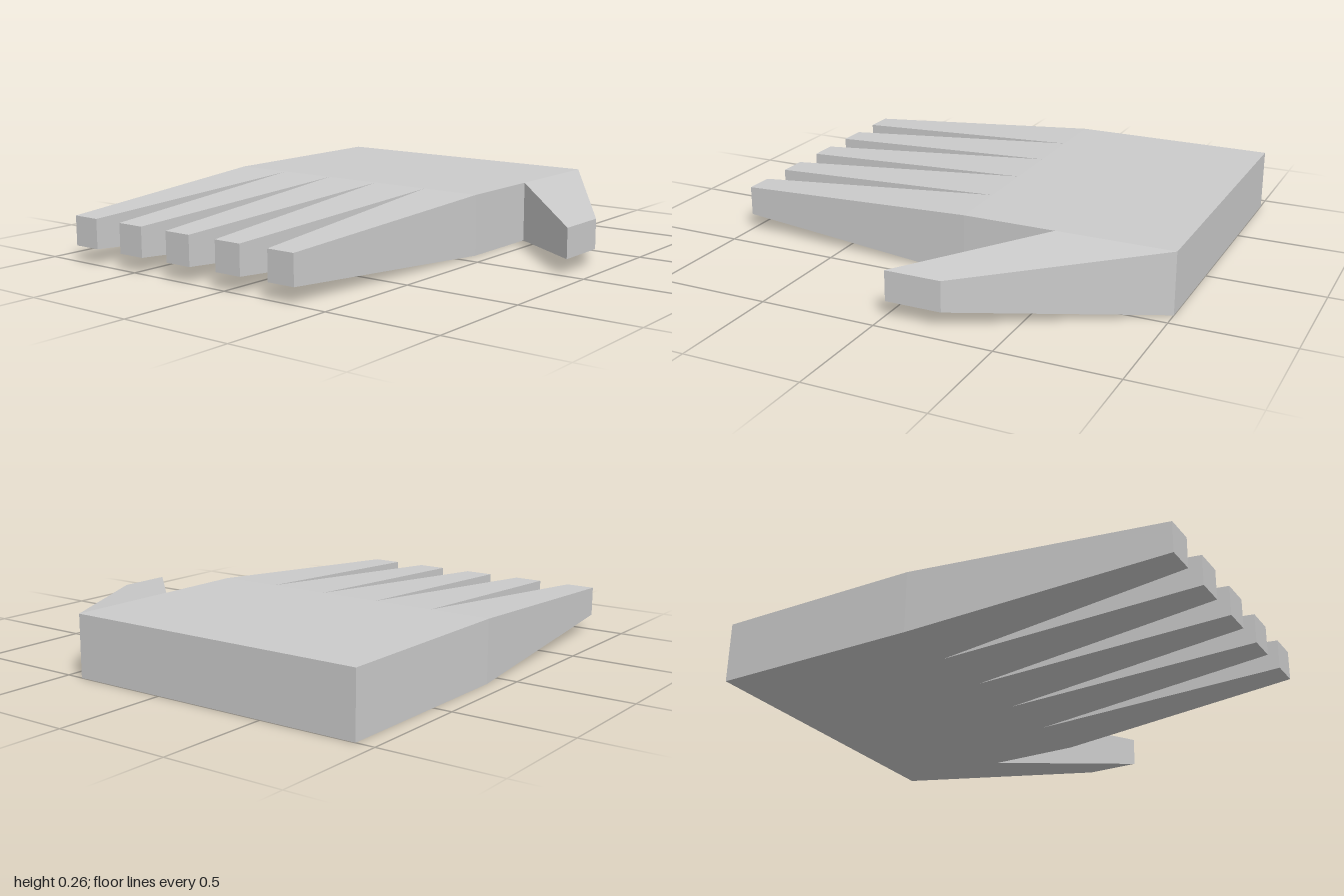
import * as THREE from 'three';

const HEIGHT = 0.265;      // thickness of the palm
const MID = HEIGHT / 2;
const KNUCKLE = 0.1;       // x where the fingers begin
const BACK = -0.92, FRONT = 0.424;
const PITCH = (FRONT - BACK) / 5;
const TIP = 0.128;         // finger tip thickness

const material = new THREE.MeshStandardMaterial({ color: 0xcccccc, flatShading: true });

// Unit box whose corners are moved by a rule: (x, y, z in -0.5..0.5) => [x, y, z]
function shapedBox(name, rule) {
  const geometry = new THREE.BoxGeometry(1, 1, 1);
  const p = geometry.attributes.position;
  for (let i = 0; i < p.count; i++) p.setXYZ(i, ...rule(p.getX(i), p.getY(i), p.getZ(i)));
  geometry.computeVertexNormals();
  const mesh = new THREE.Mesh(geometry, material);
  mesh.name = name;
  return mesh;
}

export function createModel() {
  const hand = new THREE.Group();
  hand.name = 'hand';

  // Flat slab palm
  hand.add(shapedBox('palm', (x, y, z) => [
    x < 0 ? KNUCKLE : 1,
    MID + y * HEIGHT,
    (BACK + FRONT) / 2 + z * (FRONT - BACK),
  ]));

  // Five equal fingers tapering to square tips
  for (let i = 0; i < 5; i++) {
    const centre = BACK + (i + 0.5) * PITCH;
    hand.add(shapedBox('finger' + (i + 1), (x, y, z) => x < 0
      ? [-1, MID + y * TIP, centre + z * TIP]
      : [KNUCKLE, MID + y * HEIGHT, centre + z * PITCH]));
  }

  // Thumb slanting out of the front edge of the palm
  hand.add(shapedBox('thumb', (x, y, z) => z < 0
    ? [0.75 + x * 0.5, MID + y * HEIGHT, FRONT]
    : [0.128 + x * 0.24, MID + y * TIP, 0.918]));

  return hand;
}
